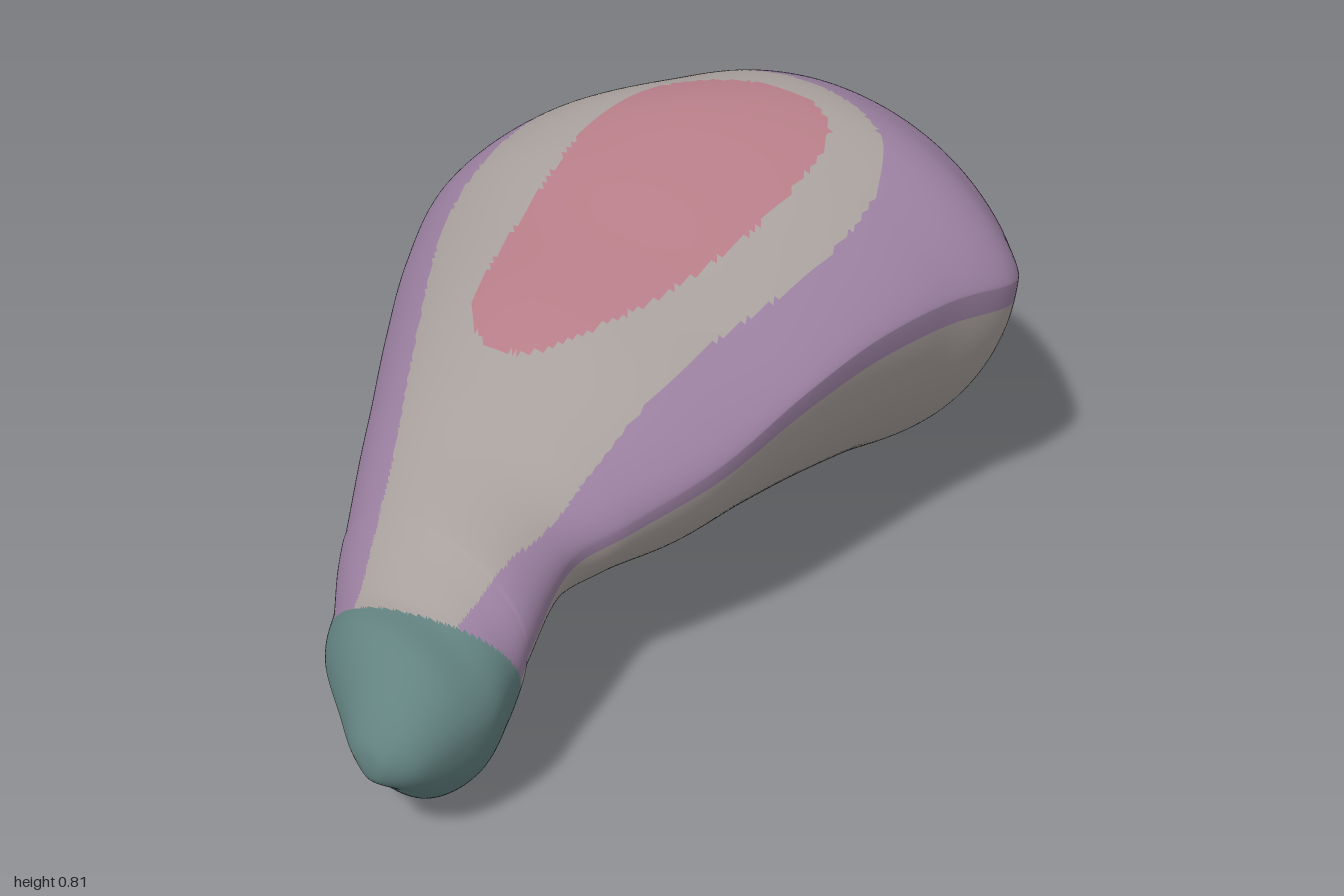
import * as THREE from 'three';

// Stations along the body: x, back z, front z, bottom y, top y, front ridge y, back ridge y
const STATIONS = [
  [-1, .43, .43, .2, .2, .2, .2],
  [-.992, .385, .47, .165, .24, .205, .205],
  [-.95, .315, .512, .125, .295, .21, .21],
  [-.87, .19, .53, .035, .355, .22, .22],
  [-.79, .125, .53, .006, .368, .23, .23],
  [-.72, .06, .505, .012, .40, .25, .25],
  [-.675, .025, .49, .04, .425, .28, .27],
  [-.645, .005, .48, .112, .44, .3, .28],
  [-.5, -.11, .435, .155, .495, .36, .32],
  [-.38, -.205, .475, .17, .55, .4, .34],
  [-.2, -.35, .532, .125, .625, .46, .37],
  [0, -.5, .558, .075, .68, .53, .4],
  [.2, -.61, .575, .03, .745, .57, .43],
  [.4, -.625, .6, .01, .795, .58, .43],
  [.58, -.525, .625, .013, .81, .56, .43],
  [.7, -.462, .55, .05, .785, .53, .42],
  [.82, -.385, .435, .11, .715, .48, .41],
  [.92, -.26, .31, .205, .6, .43, .4],
  [.98, -.125, .19, .3, .5, .4, .39],
  [.997, -.045, .1, .35, .43, .39, .39],
  [1, .03, .03, .39, .39, .39, .39],
];
const ROWS = 230, COLS = 220;

// Painted patch outlines in x, z
const TOP_PALE = [[-.9, .27], [-.6, .08], [-.3, -.15], [0, -.37], [.2, -.43], [.42, -.43], [.6, -.3],
  [.65, 0], [.6, .25], [.45, .38], [.2, .42], [-.1, .39], [-.35, .39], [-.6, .4], [-.9, .42]];
const TOP_PINK = [[-.32, .06], [-.22, -.07], [.1, -.18], [.35, -.23], [.5, -.16], [.57, .04],
  [.5, .22], [.2, .28], [-.1, .24], [-.28, .16]];
const BELLY_PINK = [[.91, 0], [.92, .14], [.83, .33], [.72, .39], [.58, .36], [.45, .29], [.3, .23], [0, .19],
  [-.3, .15], [-.12, .04], [.1, -.1], [.25, -.27], [.5, -.36], [.75, -.25]];

const COLORS = { skin: 0x9a80a0, pale: 0xa8a09c, topPatch: 0xb67d87, belly: 0xa06a6d, knob: 0x628280 };

const outline = (pts) => new THREE.SplineCurve([...pts, pts[0]].map((p) => new THREE.Vector2(...p))).getPoints(80);
const patches = { topPale: outline(TOP_PALE), topPink: outline(TOP_PINK), belly: outline(BELLY_PINK) };

function inside(poly, x, z) {
  let hit = false;
  for (let i = 0, j = poly.length - 1; i < poly.length; j = i++) {
    const a = poly[i], b = poly[j];
    if ((a.y > z) !== (b.y > z) && x < ((b.x - a.x) * (z - a.y)) / (b.y - a.y) + a.x) hit = !hit;
  }
  return hit;
}

// One smooth curve per profile column
const profiles = [1, 2, 3, 4, 5, 6].map(
  (c) => new THREE.SplineCurve(STATIONS.map((s) => new THREE.Vector2(s[0], s[c]))));

const { lerp, smoothstep } = THREE.MathUtils;

// Cross-section: four arcs joined at front ridge, top, back ridge and bottom
function surfacePoint(t, a) {
  const x = profiles[0].getPoint(t).x;
  const [back, front, bottom, top, ridgeF, ridgeB] = profiles.map((p) => p.getPoint(t).y);
  const c = Math.cos(a), s = Math.sin(a), mid = (back + front) / 2;
  const ridge = c > 0 ? ridgeF : ridgeB;
  const shape = s > 0 ? (c > 0 ? 1.5 : 1.2) : (c > 0 ? 1.1 : .45);
  const w = smoothstep(x, -.75, 0) * (1 - smoothstep(x, .55, 1));
  const rise = Math.abs(s) ** lerp(1, shape, w);
  const y = ridge + ((s > 0 ? top : bottom) - ridge) * rise;
  // the back wall leans inward towards its lower corner, most of all under the knob
  const lean = s < 0 && c < 0 ? 1 - rise * lerp(.4, .08, smoothstep(x, -.75, -.5)) : 1;
  return new THREE.Vector3(x, y, mid + (c * lean * (front - back)) / 2);
}

function region(x, y, z, a) {
  if (x + .45 * y - .35 * (z - .4) < -.62) return 'knob';
  if (a < Math.PI) {
    if (inside(patches.topPink, x, z)) return 'topPatch';
    return inside(patches.topPale, x, z) ? 'pale' : 'skin';
  }
  if (inside(patches.belly, x, z)) return 'belly';
  // pale rim: below a tilted plane, ending at the lower back corner
  const backEdge = x < .3 ? lerp(1, .5, smoothstep(x, -.4, .3)) : lerp(.5, 0, smoothstep(x, .5, .8));
  const rim = y < .325 + z * (z > 0 ? .28 : .4);
  return (rim || (x < .6 && z > .2)) && a > Math.PI + backEdge && a < Math.PI * 2 - .12 ? 'pale' : 'skin';
}

export function createModel() {
  const model = new THREE.Group();
  model.name = 'softPlumpClub';

  // Whole body surface, sorted into coloured regions that share normals
  const points = [];
  for (let i = 0; i <= ROWS; i++)
    for (let j = 0; j < COLS; j++) points.push(surfacePoint(i / ROWS, (j / COLS) * Math.PI * 2));
  const all = [], faces = {};
  for (let i = 0; i < ROWS; i++) {
    for (let j = 0; j < COLS; j++) {
      const k = (j + 1) % COLS;
      const a = i * COLS + j, b = a + COLS, c = i * COLS + k, d = c + COLS;
      for (const tri of [[a, b, d], [a, d, c]]) {
        const m = new THREE.Vector3();
        tri.forEach((v) => m.addScaledVector(points[v], 1 / 3));
        const key = region(m.x, m.y, m.z, ((j + .5) / COLS) * Math.PI * 2);
        (faces[key] ??= []).push(...tri);
        all.push(...tri);
      }
    }
  }
  const body = new THREE.BufferGeometry().setFromPoints(points);
  body.setIndex(all);
  body.computeVertexNormals();
  for (const [name, index] of Object.entries(faces)) {
    const geo = new THREE.BufferGeometry();
    geo.setAttribute('position', body.getAttribute('position'));
    geo.setAttribute('normal', body.getAttribute('normal'));
    geo.setIndex(index);
    const mesh = new THREE.Mesh(geo, new THREE.MeshStandardMaterial({ color: COLORS[name] }));
    mesh.name = name;
    model.add(mesh);
  }

  // Small face drawn on the underside, snapped to the surface
  const dark = new THREE.MeshStandardMaterial({ color: 0x4a2f30 });
  const onBelly = (x, z) => points.reduce((best, p, n) => {
    if (n % COLS <= COLS / 2) return best;
    const d = (p.x - x) ** 2 + (p.z - z) ** 2;
    return d < best.d ? { d, n } : best;
  }, { d: Infinity, n: 0 }).n;
  for (const [name, x, z] of [['leftEye', .67, .26], ['rightEye', .61, -.03]]) {
    const n = onBelly(x, z);
    const eye = new THREE.Mesh(new THREE.SphereGeometry(.025, 16, 10), dark);
    eye.scale.z = .15;
    eye.position.copy(points[n]);
    const normal = new THREE.Vector3().fromBufferAttribute(body.getAttribute('normal'), n);
    eye.quaternion.setFromUnitVectors(new THREE.Vector3(0, 0, 1), normal);
    eye.name = name;
    model.add(eye);
  }
  const path = [[.7, .16], [.73, .11], [.72, .06], [.67, .01]].map(([x, z]) => points[onBelly(x, z)]);
  const mouth = new THREE.Mesh(new THREE.TubeGeometry(new THREE.CatmullRomCurve3(path), 20, .005, 8), dark);
  mouth.name = 'mouth';
  model.add(mouth);
  return model;
}
